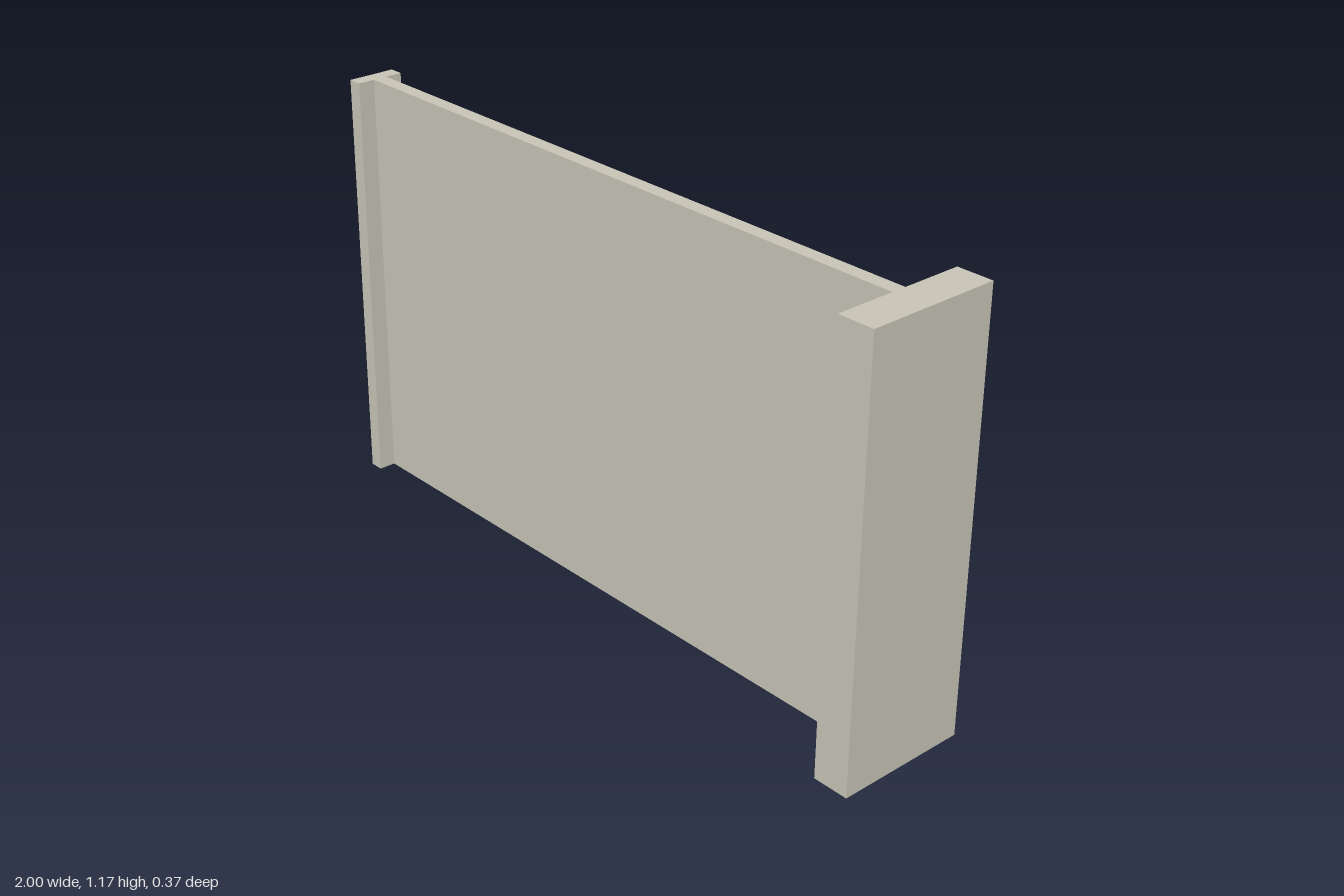
import * as THREE from 'three';

const HEIGHT = 1.167;

export function createModel() {
  const group = new THREE.Group();
  const stone = new THREE.MeshStandardMaterial({ color: 0xc6c3b5 });
  stone.name = 'warm grey';

  // Upright slab from x0 to x1, centred on z = 0
  const slab = (name, x0, x1, depth) => {
    const mesh = new THREE.Mesh(new THREE.BoxGeometry(x1 - x0, HEIGHT, depth), stone);
    mesh.name = name;
    mesh.position.set((x0 + x1) / 2, HEIGHT / 2, 0);
    group.add(mesh);
  };

  slab('narrowFlange', -1, -0.96, 0.136);
  slab('web', -0.96, 0.9, 0.04);
  slab('wideFlange', 0.9, 1, 0.37);

  return group;
}
